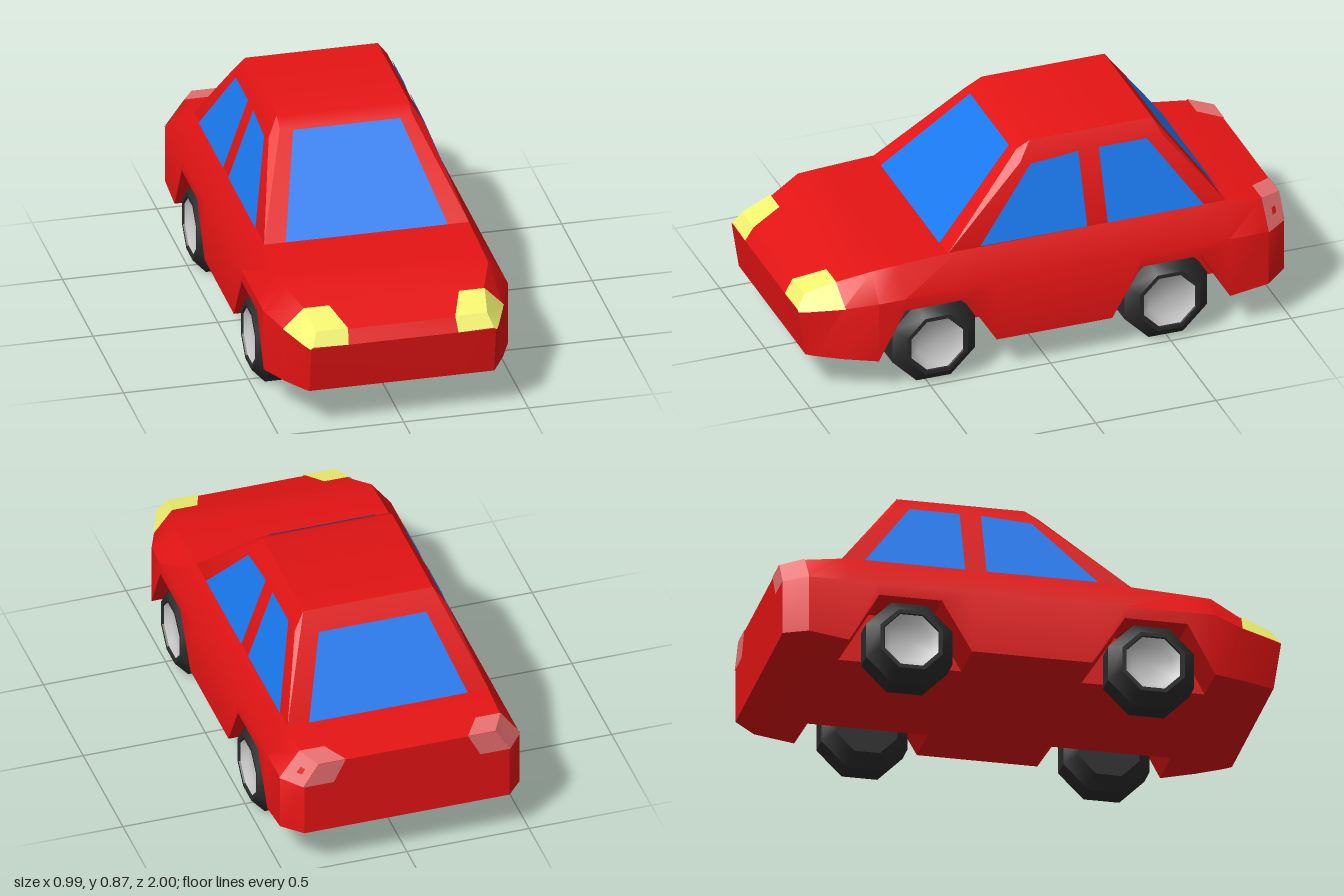
import * as THREE from 'three';
import { toCreasedNormals } from 'three/addons/utils/BufferGeometryUtils.js';
import { ConvexGeometry } from 'three/addons/geometries/ConvexGeometry.js';

const paint = (color, side = THREE.FrontSide) => new THREE.MeshStandardMaterial({ color, side });
const RED = paint(0xe41414), TYRE = paint(0x2b2b2b, THREE.DoubleSide), HUB = paint(0xcccccc, THREE.DoubleSide);
const GLASS = paint(0x1a7af0, THREE.DoubleSide), LAMP = paint(0xf4f470, THREE.DoubleSide), TAIL = paint(0xe87070, THREE.DoubleSide);

function mesh(name, geometry, material) {
  const m = new THREE.Mesh(geometry, material);
  m.name = name;
  return m;
}

function indexed(points, index) {
  const g = new THREE.BufferGeometry();
  g.setAttribute('position', new THREE.Float32BufferAttribute(points.flat(), 3));
  g.setIndex(index);
  return g;
}

// Grid of points (rows of equal length) turned into a surface
function patch(rows, sx = 1) {
  const n = rows[0].length, index = [];
  for (let i = 0; i < rows.length - 1; i++)
    for (let j = 0; j < n - 1; j++) {
      const a = i * n + j, d = a + n;
      if (sx > 0) index.push(a, d, d + 1, a, d + 1, a + 1);
      else index.push(a, d + 1, d, a, a + 1, d + 1);
    }
  const g = indexed(rows.flat().map(([x, y, z]) => [x * sx, y, z]), index);
  return toCreasedNormals(g, 0.6);
}

// Lower body: z, floor z, floor y, arch y, belt x, belt y, shoulder x, shoulder y
function bodyGeometry() {
  const stations = [
    [1.0, 0.97, 0.165, 0.165, 0.37, 0.36, 0.36, 0.364],
    [0.965, 0.94, 0.16, 0.16, 0.385, 0.363, 0.34, 0.415],
    [0.84, 0.84, 0.153, 0.153, 0.437, 0.375, 0.36, 0.458],
    [0.71, 0.71, 0.145, 0.145, 0.49, 0.40, 0.41, 0.505],
    [0.60, 0.60, 0.145, 0.35, 0.49, 0.40, 0.41, 0.512],
    [0.35, 0.35, 0.145, 0.35, 0.49, 0.40, 0.41, 0.525],
    [0.22, 0.22, 0.145, 0.145, 0.49, 0.40, 0.41, 0.525],
    [-0.26, -0.26, 0.145, 0.145, 0.49, 0.40, 0.41, 0.528],
    [-0.38, -0.38, 0.145, 0.35, 0.49, 0.40, 0.41, 0.528],
    [-0.63, -0.63, 0.145, 0.35, 0.49, 0.40, 0.41, 0.53],
    [-0.75, -0.75, 0.145, 0.145, 0.49, 0.40, 0.41, 0.53],
    [-0.91, -0.91, 0.168, 0.168, 0.49, 0.40, 0.41, 0.508],
    [-1.0, -1.0, 0.18, 0.18, 0.42, 0.40, 0.36, 0.495],
  ];
  const points = [], index = [], N = 10, WELL = 0.3;
  for (const [z, zf, yf, ya, xb, yb, xs, ys] of stations) {
    const half = [[WELL, yf, zf], [WELL, ya, zf], [xb, ya, zf], [xb, yb, z], [xs, ys, z]];
    points.push(...half, ...half.slice().reverse().map(([x, y, w]) => [-x, y, w]));
  }
  const last = (stations.length - 1) * N;
  for (let i = 0; i < last; i += N)
    for (let j = 0; j < N; j++) {
      const k = (j + 1) % N, a = i + j, b = i + k, c = i + N + k, d = i + N + j;
      index.push(a, d, c, a, c, b);
    }
  for (let j = 1; j < N - 1; j++) index.push(0, j, j + 1, last, last + j + 1, last + j);
  return toCreasedNormals(indexed(points, index), 0.6);
}

// Cabin: tapered block with bevelled roof edges
function cabinGeometry() {
  const pts = [];
  for (const s of [1, -1])
    for (const [x, y, z] of [
      [0.41, 0.515, 0.4], [0.41, 0.525, 0.39], [0.31, 0.81, 0.055], [0.265, 0.845, 0.055], [0.265, 0.875, 0],
      [0.41, 0.515, -0.765], [0.41, 0.53, -0.76], [0.31, 0.81, -0.54], [0.265, 0.84, -0.535], [0.265, 0.875, -0.51],
    ]) pts.push(new THREE.Vector3(s * x, y, z));
  return toCreasedNormals(new ConvexGeometry(pts), 0.5);
}

// Eight-sided wheel, outer face towards +y before turning
function wheel(name) {
  const lathe = (pts) => toCreasedNormals(
    new THREE.LatheGeometry(pts.map(([r, y]) => new THREE.Vector2(r, y)), 8, Math.PI / 8), 0.7);
  const g = new THREE.Group();
  g.name = name;
  g.add(mesh('tyre', lathe([[0, -0.093], [0.132, -0.093], [0.186, -0.045], [0.186, 0.045], [0.135, 0.093], [0.118, 0.093], [0.113, 0.08]]), TYRE));
  g.add(mesh('hub', lathe([[0.118, 0.088], [0.085, 0.065], [0, 0.06]]), HUB));
  return g;
}

export function createModel() {
  const car = new THREE.Group();
  car.name = 'car';
  car.add(mesh('body', bodyGeometry(), RED), mesh('cabin', cabinGeometry(), RED));

  // Front and rear glass
  car.add(mesh('windscreen', patch([
    [[-0.215, 0.84, 0.067], [0.215, 0.84, 0.067]].reverse(),
    [[-0.325, 0.525, 0.397], [0.325, 0.525, 0.397]].reverse(),
  ], -1), GLASS));
  car.add(mesh('rearWindow', patch([
    [[-0.22, 0.805, -0.567], [0.22, 0.805, -0.567]],
    [[-0.325, 0.53, -0.767], [0.325, 0.53, -0.767]],
  ], -1), GLASS));

  const sidePoint = ([z, y]) => [0.415 - (y - 0.525) * 0.351, y, z];
  for (const [side, s] of [['left', 1], ['right', -1]]) {
    // Side glass, lying on the sloped cabin side
    const pane = (name, top, bottom) =>
      car.add(mesh(side + name, patch([top.map(sidePoint), bottom.map(sidePoint)], s), GLASS));
    pane('FrontWindow', [[0.016, 0.80], [-0.185, 0.815]], [[0.26, 0.53], [-0.185, 0.53]]);
    pane('RearWindow', [[-0.27, 0.815], [-0.47, 0.815]], [[-0.27, 0.53], [-0.67, 0.53]]);

    // Headlight wrapped over the nose corner
    car.add(mesh(side + 'Headlight', patch([
      [[0.22, 0.364, 1.0], [0.362, 0.368, 1.0], [0.374, 0.36, 1.0]],
      [[0.215, 0.42, 0.967], [0.343, 0.42, 0.967], [0.39, 0.363, 0.967]],
      [[0.26, 0.463, 0.842], [0.363, 0.463, 0.842], [0.443, 0.376, 0.83]],
    ], -s), LAMP));

    // Tail light wrapped over the rear corner
    car.add(mesh(side + 'TailLight', patch([
      [[0.31, 0.512, -0.91], [0.412, 0.512, -0.91], [0.494, 0.40, -0.91]],
      [[0.25, 0.498, -1.0], [0.362, 0.498, -1.0], [0.424, 0.40, -1.0]],
    ], -s), TAIL));
    car.add(mesh(side + 'TailLightBack', patch([
      [[0.25, 0.498, -1.002], [0.362, 0.498, -1.002]],
      [[0.30, 0.40, -1.002], [0.424, 0.40, -1.002]],
    ], -s), TAIL));

    // Wheels
    for (const [end, z] of [['Front', 0.465], ['Rear', -0.5]]) {
      const w = wheel(side + end + 'Wheel');
      w.rotation.z = -s * Math.PI / 2;
      w.position.set(s * 0.398, 0.172, z);
      car.add(w);
    }
  }
  return car;
}
